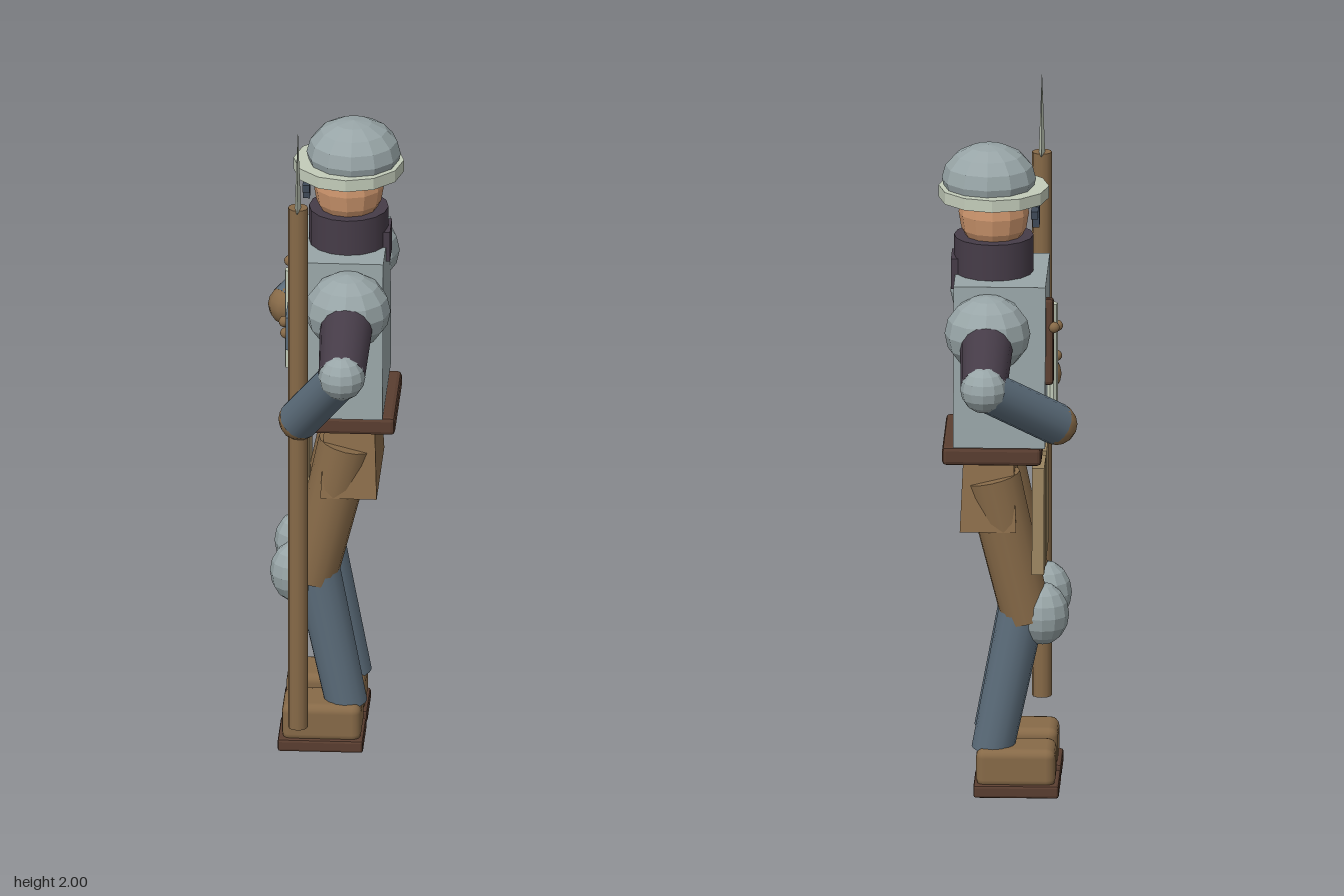
import * as THREE from 'three';
import { RoundedBoxGeometry } from 'three/addons/geometries/RoundedBoxGeometry.js';

const mat = (name, color, flat = true) => {
  const m = new THREE.MeshStandardMaterial({ color, flatShading: flat });
  m.name = name;
  return m;
};

export function createModel() {
  const steel = mat('steel', 0x98a5a7);
  const paleMetal = mat('paleMetal', 0xc3ccba);
  const charcoal = mat('charcoalCloth', 0x463c48, false);
  const blueGrey = mat('blueGreyCloth', 0x5c6d7b, false);
  const brown = mat('brownLeather', 0x876a48, false);
  const darkBrown = mat('darkBrownLeather', 0x5a3e30);
  const tan = mat('tanLeather', 0x9c8661);
  const skin = mat('skin', 0xcb946c);
  const visorMetal = mat('visorMetal', 0x3f4a58);

  // the figure stands turned 45 degrees to its right
  const figure = new THREE.Group();
  figure.name = 'figure';
  figure.rotation.y = -Math.PI / 4;
  figure.position.set(0.0035, 0, 0.0035);

  const add = (name, geometry, material, x, y, z) => {
    const m = new THREE.Mesh(geometry, material);
    m.name = name;
    m.position.set(x, y, z);
    figure.add(m);
    return m;
  };
  const box = (name, w, h, d, material, x, y, z) =>
    add(name, new THREE.BoxGeometry(w, h, d), material, x, y, z);
  const ball = (name, rx, ry, material, x, y, z) => {
    const m = add(name, new THREE.SphereGeometry(1, 12, 8), material, x, y, z);
    m.scale.set(rx, ry, rx);
    return m;
  };
  // tapered cylinder between two points
  const limb = (name, a, b, ra, rb, material) => {
    const p = new THREE.Vector3(...a), q = new THREE.Vector3(...b);
    const dir = q.clone().sub(p);
    const mid = p.clone().add(q).multiplyScalar(0.5);
    const m = add(name, new THREE.CylinderGeometry(rb, ra, dir.length(), 16), material, mid.x, mid.y, mid.z);
    m.quaternion.setFromUnitVectors(new THREE.Vector3(0, 1, 0), dir.normalize());
    return m;
  };
  // box whose top is narrowed in x and z
  const taperedBox = (w, h, d, topX, topZ = 1) => {
    const g = new THREE.BoxGeometry(w, h, d);
    const p = g.attributes.position;
    for (let i = 0; i < p.count; i++) {
      if (p.getY(i) > 0) p.setXYZ(i, p.getX(i) * topX, p.getY(i), p.getZ(i) * topZ);
    }
    g.computeVertexNormals();
    return g;
  };

  // head and helmet
  ball('head', 0.1, 0.12, skin, 0.002, 1.68, 0);
  ball('helmetDome', 0.134, 0.1, steel, 0.002, 1.78, -0.014);
  add('helmetBrim', new THREE.CylinderGeometry(0.157, 0.157, 0.035, 12), paleMetal, 0, 1.742, 0);
  box('visorBar', 0.13, 0.022, 0.02, visorMetal, 0, 1.69, 0.118);
  box('noseGuard', 0.03, 0.09, 0.02, visorMetal, 0, 1.685, 0.12);

  // neck scarf with a short tail at the back
  add('scarf', new THREE.CylinderGeometry(0.113, 0.113, 0.115, 16), charcoal, 0, 1.557, 0);
  box('scarfTail', 0.1, 0.09, 0.03, charcoal, 0, 1.51, -0.105);

  // breastplate, belt and hips
  add('breastplate', taperedBox(0.412, 0.467, 0.261, 0.835), steel, 0, 1.275, 0.0225);
  add('belt', new RoundedBoxGeometry(0.346, 0.055, 0.282, 1, 0.012), darkBrown, 0, 1.005, 0);
  add('hips', taperedBox(0.37, 0.2, 0.16, 0.76, 0.9), brown, 0, 0.885, -0.01);

  // chest gear
  const strap = add('chestStrap', new RoundedBoxGeometry(0.04, 0.25, 0.03, 1, 0.01), darkBrown, -0.125, 1.337, 0.16);
  strap.rotation.z = -0.12;
  add('chestRod', new THREE.CylinderGeometry(0.017, 0.017, 0.3, 10), paleMetal, 0, 1.262, 0.165);
  box('chestPouch', 0.125, 0.1, 0.03, blueGrey, 0.095, 1.28, 0.156);
  for (const [x, y] of [[-0.133, 1.38], [0.13, 1.307], [0.058, 1.24]]) {
    ball('stud', 0.016, 0.016, brown, x, y, 0.176);
  }

  for (const s of [-1, 1]) {
    // front skirt plates
    const plate = add('skirtPlate', taperedBox(0.165, 0.31, 0.035, 0.9), tan, s * 0.1, 0.815, 0.132);
    plate.rotation.z = s * 0.03;

    // legs
    limb('thigh', [s * 0.108, 0.93, 0], [s * 0.108, 0.51, 0.098], 0.08, 0.071, brown);
    limb('shin', [s * 0.108, 0.54, 0.085], [s * 0.108, 0.12, 0], 0.066, 0.06, blueGrey);
    ball('kneePad', 0.075, 0.09, steel, s * 0.108, 0.525, 0.143);
    add('boot', new RoundedBoxGeometry(0.153, 0.115, 0.225, 2, 0.026), brown, s * 0.108, 0.082, 0.068);
    add('sole', new RoundedBoxGeometry(0.172, 0.038, 0.243, 1, 0.008), darkBrown, s * 0.108, 0.019, 0.07);

    // arms
    const elbow = [s * 0.506, 1.305, -0.01];
    const hand = s > 0 ? [0.346, 1.1, 0.12] : [-0.336, 1.155, 0.19];
    ball('shoulderPad', 0.122, 0.11, steel, s * 0.217, 1.385, -0.01);
    limb('upperArm', [s * 0.217, 1.385, -0.01], elbow, 0.078, 0.066, charcoal);
    ball('elbowPad', 0.067, 0.067, steel, ...elbow);
    limb('forearm', elbow, hand, 0.06, 0.06, blueGrey);
    ball('hand', 0.06, 0.06, brown, ...hand);
  }

  // spear held upright in the left hand
  add('spearShaft', new THREE.CylinderGeometry(0.028, 0.028, 1.61, 12), brown, 0.346, 0.952, 0.124);
  const blade = add('spearBlade', new THREE.ConeGeometry(0.053, 0.245, 4), paleMetal, 0.346, 1.8775, 0.124);
  blade.scale.z = 0.17;

  const group = new THREE.Group();
  group.name = 'spearGuard';
  group.add(figure);
  return group;
}
